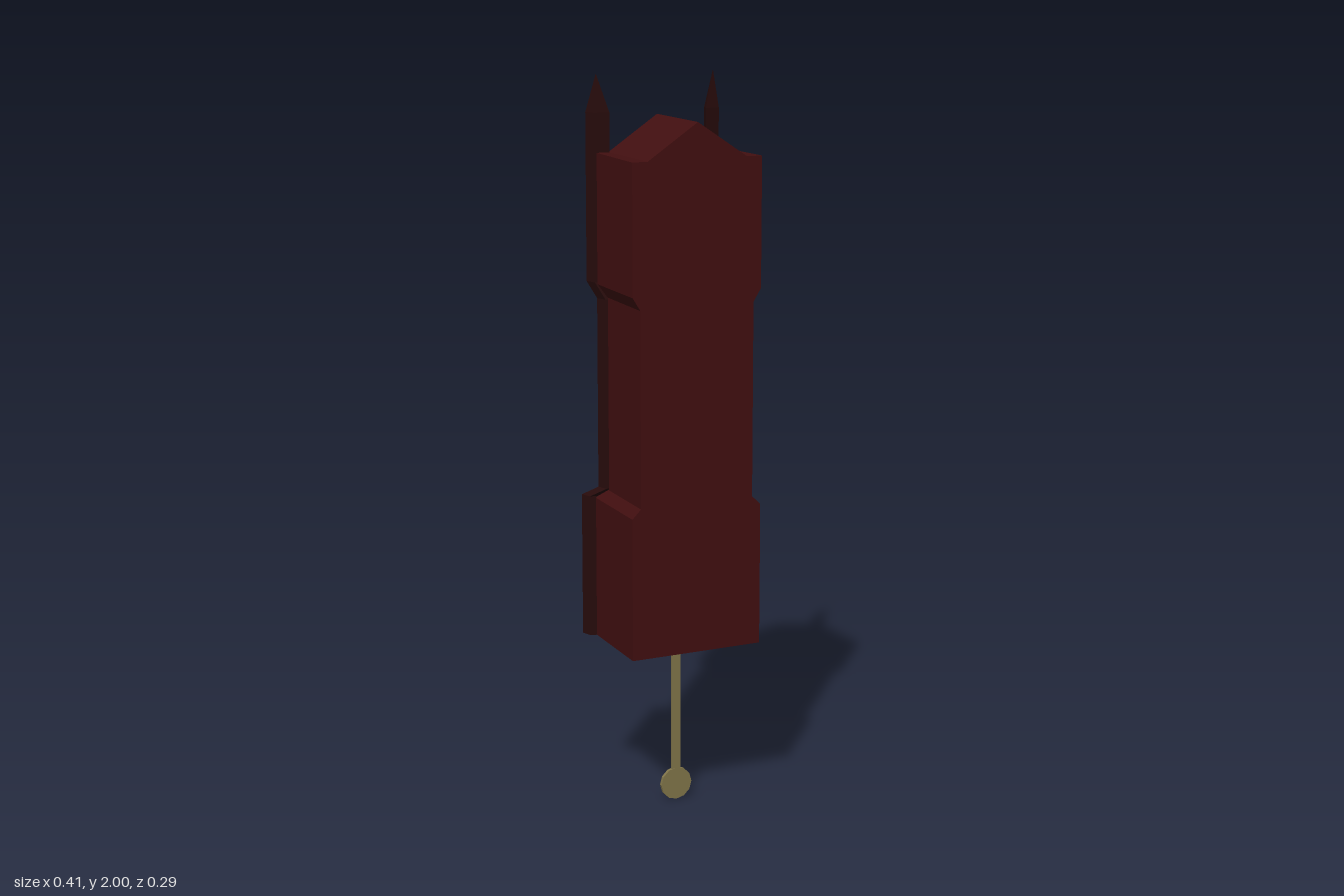
import * as THREE from 'three';

const mat = (name, color, extra = {}) => new THREE.MeshStandardMaterial({ name, color, ...extra });

// Skin a stack of [x, y, z] rings, counterclockwise seen from above, with capped ends
function loft(rings, skip = () => false) {
  const pos = [];
  const tri = (a, b, c) => pos.push(...a, ...b, ...c);
  const n = rings[0].length;
  for (let i = 0; i < rings.length - 1; i++) {
    for (let j = 0; j < n; j++) {
      if (skip(i, j)) continue;
      const k = (j + 1) % n;
      tri(rings[i][j], rings[i][k], rings[i + 1][k]);
      tri(rings[i][j], rings[i + 1][k], rings[i + 1][j]);
    }
  }
  const low = rings[0], top = rings[rings.length - 1];
  for (let j = 1; j < n - 1; j++) {
    tri(low[0], low[j + 1], low[j]);
    tri(top[0], top[j], top[j + 1]);
  }
  const g = new THREE.BufferGeometry();
  g.setAttribute('position', new THREE.Float32BufferAttribute(pos, 3));
  g.computeVertexNormals();
  return g;
}

// Flat panel facing -z with a rectangular opening
function framePanel(w0, w1, y0, y1, hw, h0, h1) {
  const s = new THREE.Shape([[-w0, y0], [w0, y0], [w1, y1], [-w1, y1]].map(p => new THREE.Vector2(...p)));
  s.holes.push(new THREE.Path([[-hw, h0], [-hw, h1], [hw, h1], [hw, h0]].map(p => new THREE.Vector2(...p))));
  return new THREE.ShapeGeometry(s).rotateY(Math.PI);
}

// Inward-facing box, open towards -z
function cavity(hw, y0, y1, z0, z1) {
  let g = new THREE.BoxGeometry(2 * hw, y1 - y0, z1 - z0);
  g.setIndex(Array.from(g.index.array).slice(0, 30));
  g.clearGroups();
  g = g.toNonIndexed();
  g.scale(-1, 1, 1);
  g.translate(0, (y0 + y1) / 2, (z0 + z1) / 2);
  g.computeVertexNormals();
  return g;
}

export function createModel() {
  const model = new THREE.Group();
  const wood = mat('dark red wood', 0x420f10);
  const trim = mat('blackened wood', 0x270b0b);
  const inside = mat('brown interior', 0x5e3a2d);
  const brass = mat('dull brass', 0x82764a);
  const add = (name, geo, material) => {
    const m = new THREE.Mesh(geo, material);
    m.name = name;
    model.add(m);
    return m;
  };

  // Case: y, back half width, front half width, front z, bow of the front
  const back = 0.145;
  const stations = [
    [0.465, 0.19, 0.18, -0.12, 0.01],
    [0.855, 0.19, 0.18, -0.12, 0.01],
    [0.88, 0.165, 0.155, -0.085, 0],
    [1.41, 0.165, 0.155, -0.085, 0],
    [1.445, 0.187, 0.177, -0.1, 0],
    [1.795, 0.187, 0.177, -0.1, 0],
  ];
  const rings = stations.map(([y, wb, wf, zf, bow]) => [
    [wb, y, back], [wf, y, zf], [0, y, zf - bow], [-wf, y, zf], [-wb, y, back],
  ]);
  add('case', loft(rings, (i, j) => (i === 2 || i === 4) && (j === 1 || j === 2)), wood);

  // Roof gable
  const gable = new THREE.Shape([[-0.143, 1.795], [0.143, 1.795], [0, 1.89]].map(p => new THREE.Vector2(...p)));
  add('roof', new THREE.ExtrudeGeometry(gable, { depth: back + 0.1, bevelEnabled: false }).translate(0, 0, -0.1), wood);

  // Door and dial openings
  add('doorFrame', framePanel(0.155, 0.155, 0.88, 1.41, 0.12, 0.9, 1.385), wood).position.z = -0.085;
  add('doorInterior', cavity(0.12, 0.9, 1.385, -0.085, 0.11), inside);
  add('dialFrame', framePanel(0.177, 0.177, 1.445, 1.795, 0.128, 1.46, 1.75), wood).position.z = -0.1;
  add('dialRecess', cavity(0.128, 1.46, 1.75, -0.1, -0.05), inside);
  add('dial', new THREE.BoxGeometry(0.254, 0.288, 0.006).translate(0, 1.605, -0.054), brass);

  // Corner posts ending in pointed finials: y, x, z, section scale
  const section = [[0.022, -0.02], [-0.017, -0.018], [-0.03, 0.019], [0.012, 0.012]];
  const path = [
    [0.465, 0.185, -0.126, 1], [0.86, 0.185, -0.126, 1],
    [0.885, 0.15, -0.093, 1], [1.405, 0.15, -0.093, 1],
    [1.45, 0.172, -0.112, 1], [1.9, 0.172, -0.112, 1], [2.0, 0.172, -0.112, 0.01],
  ];
  for (const side of [1, -1]) {
    const post = path.map(([y, x, z, s]) => {
      const ring = section.map(([dx, dz]) => [side * (x + dx * s), y, z + dz * s]);
      return side > 0 ? ring : ring.reverse();
    });
    add(side > 0 ? 'leftPost' : 'rightPost', loft(post), trim);
  }

  // Pendulum
  add('pendulumRod', new THREE.BoxGeometry(0.026, 0.4, 0.008).translate(0, 0.275, 0.015), brass);
  add('pendulumHook', new THREE.BoxGeometry(0.03, 0.015, 0.02).translate(0, 0.46, 0.015), brass);
  const bob = new THREE.CylinderGeometry(0.046, 0.046, 0.01, 12).toNonIndexed();
  bob.computeVertexNormals();
  add('pendulumBob', bob.rotateX(Math.PI / 2).translate(0, 0.046, 0.015), brass);

  return model;
}
